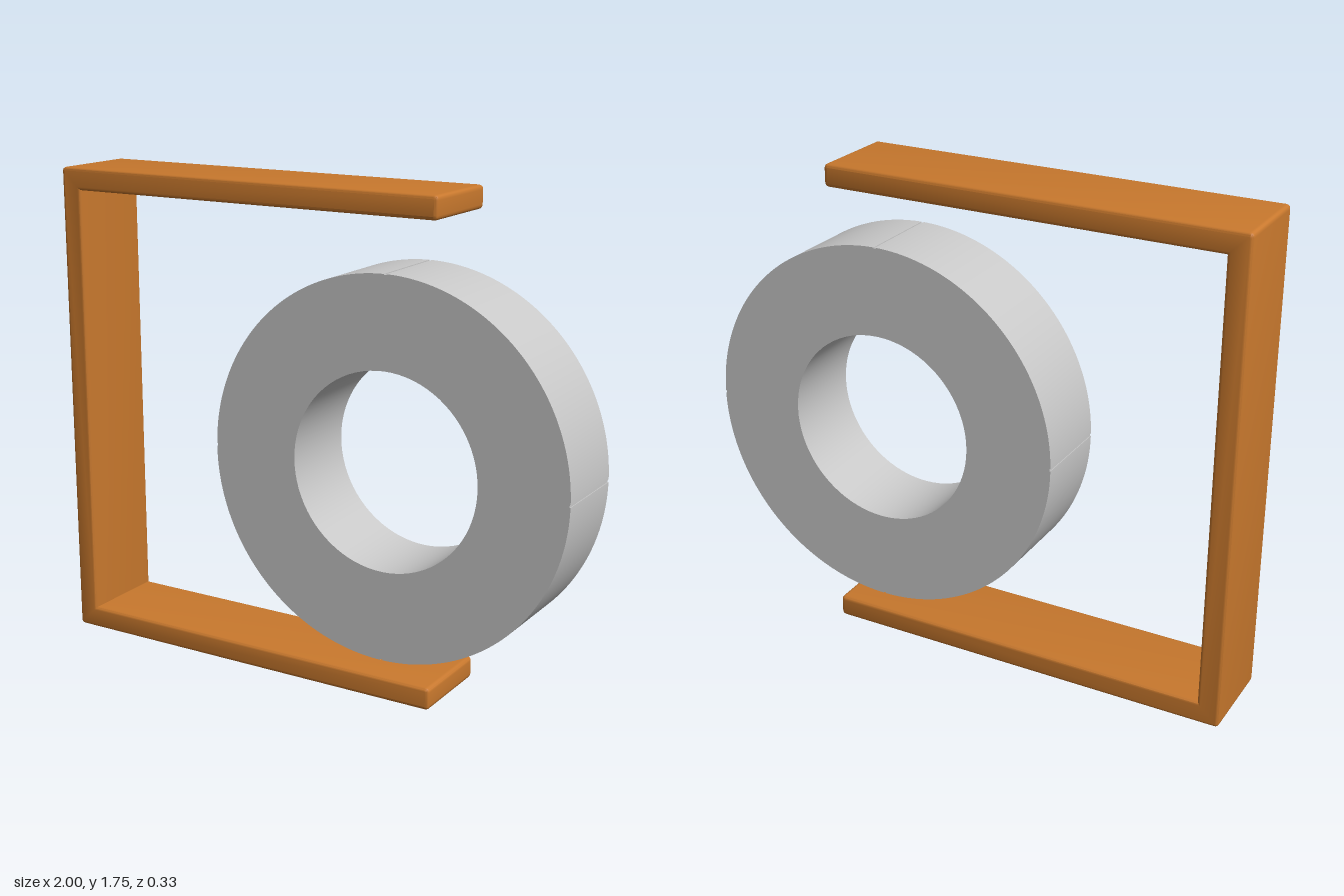
import * as THREE from 'three';
import { toCreasedNormals } from 'three/addons/utils/BufferGeometryUtils.js';

const orange = new THREE.MeshStandardMaterial({ name: 'orange', color: 0xc8782d });
const grey = new THREE.MeshStandardMaterial({ name: 'grey', color: 0xc8c8c8 });

// Closed outline whose outer corners are rounded; each point is [x, y, radius]
function roundedOutline(points) {
  const shape = new THREE.Shape();
  const n = points.length;
  points.forEach(([x, y, r], i) => {
    const p = new THREE.Vector2(x, y);
    const toward = ([qx, qy]) => new THREE.Vector2(qx, qy).sub(p).setLength(r).add(p);
    const a = r ? toward(points[(i + n - 1) % n]) : p;
    const b = r ? toward(points[(i + 1) % n]) : p;
    if (i === 0) shape.moveTo(a.x, a.y);
    else shape.lineTo(a.x, a.y);
    if (r) shape.quadraticCurveTo(x, y, b.x, b.y);
  });
  shape.closePath();
  return shape;
}

// C-shaped bracket, open on the +x side
function createBracket() {
  const left = -1, right = 0.515, top = 1.755, t = 0.08, r = 0.016;
  const bevel = 0.012, depth = 0.334;
  const shape = roundedOutline([
    [left, 0, r], [right, 0, r], [right, t, r], [left + t, t, 0],
    [left + t, top - t, 0], [right, top - t, r], [right, top, r], [left, top, r],
  ]);
  const geo = new THREE.ExtrudeGeometry(shape, {
    depth: depth - 2 * bevel, curveSegments: 4,
    bevelEnabled: true, bevelThickness: bevel, bevelSize: bevel, bevelOffset: -bevel, bevelSegments: 3,
  });
  geo.translate(0, 0, -depth / 2 + bevel);
  const mesh = new THREE.Mesh(toCreasedNormals(geo, 0.6), orange);
  mesh.name = 'bracket';
  return mesh;
}

// Thick ring with four hairline seams around its rim
function createRing() {
  const R = 0.673, hole = 0.35, depth = 0.316, seam = 0.007, notch = 0.003;
  const shape = new THREE.Shape();
  for (let i = 0; i < 4; i++) {
    const a = i * Math.PI / 2, b = a + Math.PI / 2;
    shape.absarc(0, 0, R, a + seam, b - seam, false);
    for (const s of [-seam, seam]) {
      shape.lineTo((R - notch) * Math.cos(b + s), (R - notch) * Math.sin(b + s));
    }
  }
  shape.closePath();
  shape.holes.push(new THREE.Path().absarc(0, 0, hole, 0, Math.PI * 2, true));
  const geo = new THREE.ExtrudeGeometry(shape, { depth, curveSegments: 40, bevelEnabled: false });
  geo.translate(0, 0, -depth / 2);
  const mesh = new THREE.Mesh(toCreasedNormals(geo, 0.4), grey);
  mesh.name = 'ring';
  mesh.position.set(0.326, 0.816, 0);
  return mesh;
}

export function createModel() {
  const model = new THREE.Group();
  model.name = 'bracketAndRing';
  model.add(createBracket(), createRing());
  return model;
}
